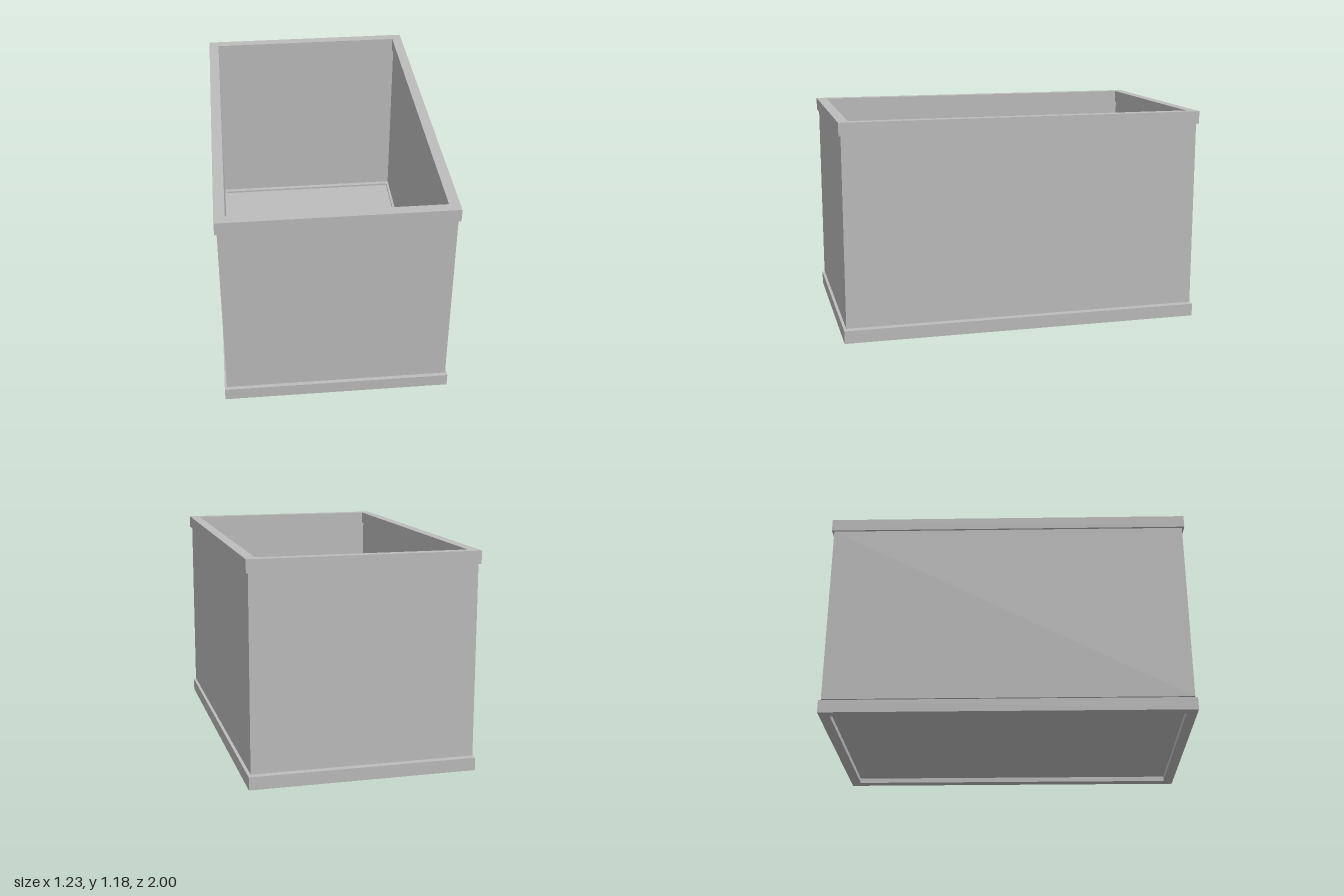
import * as THREE from 'three';

// Rectangular ring standing on y = y0, with a straight-sided hole
function ring(halfX, halfZ, wall, y0, y1, material, name) {
  const rect = (T, x, z) => new T([
    new THREE.Vector2(-x, -z), new THREE.Vector2(x, -z),
    new THREE.Vector2(x, z), new THREE.Vector2(-x, z),
  ]);
  const shape = rect(THREE.Shape, halfX, halfZ);
  shape.holes.push(rect(THREE.Path, halfX - wall, halfZ - wall));
  const geometry = new THREE.ExtrudeGeometry(shape, { depth: y1 - y0, bevelEnabled: false });
  geometry.rotateX(-Math.PI / 2).translate(0, y0, 0);
  const mesh = new THREE.Mesh(geometry, material);
  mesh.name = name;
  return mesh;
}

export function createModel() {
  const group = new THREE.Group();
  group.name = 'openBox';
  const grey = new THREE.MeshStandardMaterial({ color: 0xbcbcbc });
  grey.name = 'plain grey';

  // Base and top frames overhang the thinner side panels slightly
  group.add(ring(0.615, 1, 0.057, 0, 0.07, grey, 'baseFrame'));
  group.add(ring(0.603, 0.988, 0.033, 0.08, 1.115, grey, 'sidePanels'));
  group.add(ring(0.615, 1, 0.057, 1.115, 1.185, grey, 'topFrame'));

  // Floor panel recessed in the base frame
  const floor = new THREE.Mesh(new THREE.BoxGeometry(1.13, 0.03, 1.9), grey);
  floor.position.y = 0.043;
  floor.name = 'floorPanel';
  group.add(floor);
  return group;
}
